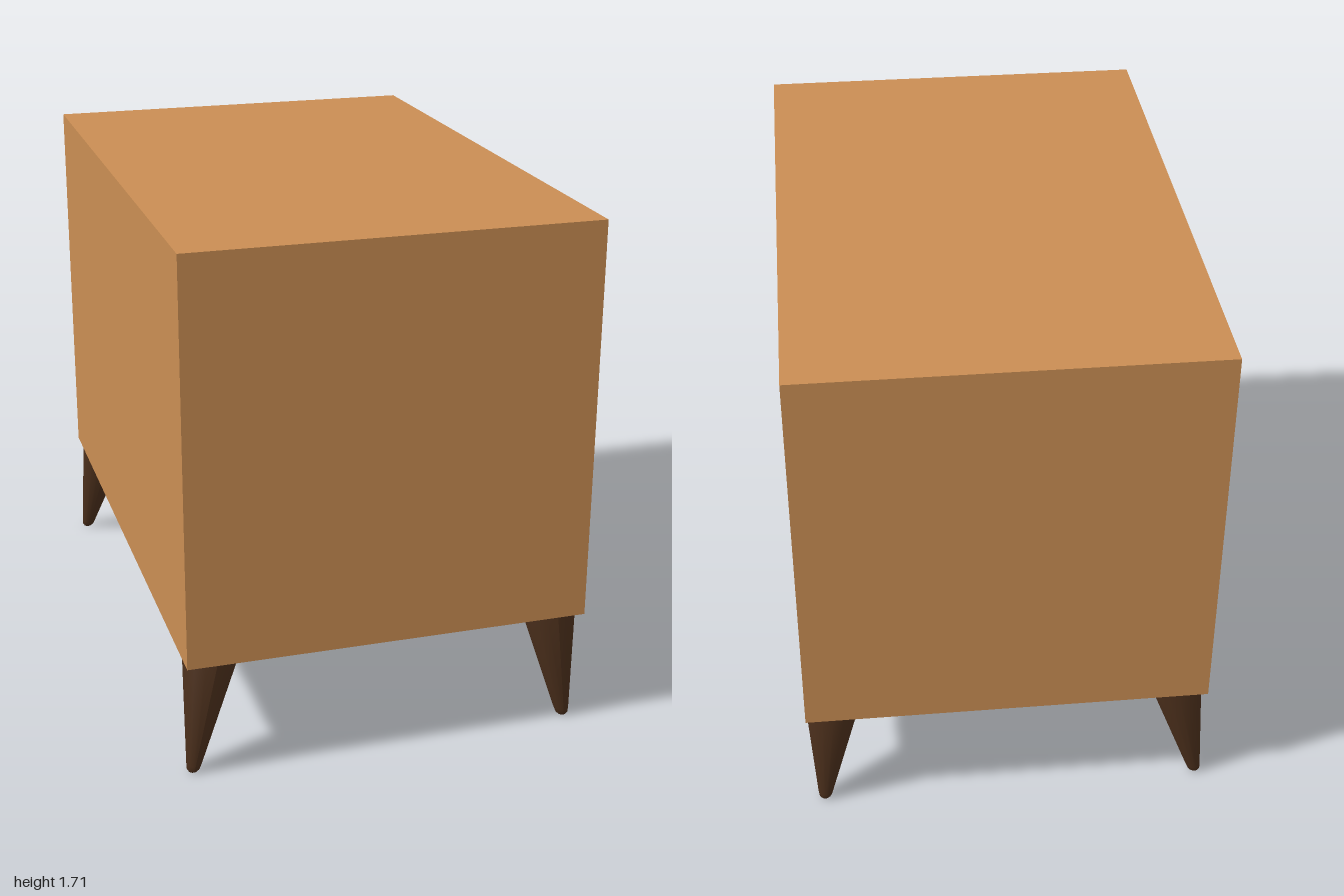
import * as THREE from 'three';

const mat = (color, opts = {}) => new THREE.MeshStandardMaterial({ color, ...opts });

// Rectangle outline with corners cut by a coarse three-step arc (r = 0 gives square corners)
function outline(x0, x1, y0, y1, r = 0) {
  if (!r) return [[x0, y0], [x1, y0], [x1, y1], [x0, y1]].map(p => new THREE.Vector2(...p));
  const points = [];
  const centres = [[x1 - r, y1 - r], [x0 + r, y1 - r], [x0 + r, y0 + r], [x1 - r, y0 + r]];
  centres.forEach(([cx, cy], corner) => {
    for (let i = 0; i <= 3; i++) {
      const a = (corner + i / 3) * Math.PI / 2;
      points.push(new THREE.Vector2(cx + r * Math.cos(a), cy + r * Math.sin(a)));
    }
  });
  return points;
}

function plate(outer, hole, depth) {
  const shape = new THREE.Shape(outer);
  if (hole) shape.holes.push(new THREE.Path(hole));
  return new THREE.ExtrudeGeometry(shape, { depth, bevelEnabled: false });
}

// Sloping band between two matching outlines at two depths
function band(a, za, b, zb) {
  const pos = [];
  a.forEach((p, i) => {
    const j = (i + 1) % a.length;
    const A = [p.x, p.y, za], B = [a[j].x, a[j].y, za];
    const C = [b[j].x, b[j].y, zb], D = [b[i].x, b[i].y, zb];
    pos.push(...A, ...B, ...C, ...A, ...C, ...D);
  });
  const g = new THREE.BufferGeometry();
  g.setAttribute('position', new THREE.Float32BufferAttribute(pos, 3));
  g.computeVertexNormals();
  return g;
}

// Tapered leg with a rounded tip, sheared so the top stays level under the cabinet
function legGeometry(dx, dz) {
  const profile = [[0, 0], [0.014, 0.001], [0.021, 0.009], [0.025, 0.025], [0.092, 0.38], [0, 0.38]];
  const g = new THREE.LatheGeometry(profile.map(p => new THREE.Vector2(...p)), 16);
  const p = g.attributes.position;
  for (let i = 0; i < p.count; i++) {
    const t = 1 - p.getY(i) / 0.38;
    p.setX(i, p.getX(i) + dx * t);
    p.setZ(i, p.getZ(i) + dz * t);
  }
  g.computeVertexNormals();
  return g;
}

export function createModel() {
  const model = new THREE.Group();
  const wood = mat(0xc98d53);
  const add = (parent, name, geometry, material, x = 0, y = 0, z = 0) => {
    const mesh = new THREE.Mesh(geometry, material);
    mesh.name = name;
    mesh.position.set(x, y, z);
    parent.add(mesh);
  };

  // Cabinet is drawn facing local +z, then turned so the screen faces +x
  const cabinet = new THREE.Group();
  cabinet.name = 'cabinet';
  cabinet.rotation.y = Math.PI / 2;
  model.add(cabinet);

  const outer = outline(-1, 1, 0.38, 1.713);
  const opening = outline(-0.955, 0.955, 0.431, 1.673);
  const screenOuter = outline(-0.843, 0.461, 0.534, 1.567, 0.17);
  const screenInner = outline(-0.815, 0.434, 0.56, 1.541, 0.16);

  add(cabinet, 'cabinetShell', plate(outer, opening, 1.287), wood, 0, 0, -0.62);
  add(cabinet, 'backBoard', plate(outer, null, 0.046), wood, 0, 0, -0.666);
  add(cabinet, 'fascia', plate(opening, screenOuter, 0.02), wood, 0, 0, 0.48);

  // Screen set back behind a sloping surround
  add(cabinet, 'screenSurround', band(screenOuter, 0.5, screenInner, 0.385),
    mat(0xe0694c, { side: THREE.DoubleSide, flatShading: true }));
  add(cabinet, 'screen', new THREE.ShapeGeometry(new THREE.Shape(screenInner)),
    mat(0xa4a6a4), 0, 0, 0.385);

  // Control panel beside the screen
  add(cabinet, 'controlPanel', new THREE.BoxGeometry(0.38, 1.168, 0.006),
    mat(0xc8a56c), 0.72, 1.052, 0.5);

  // Splayed legs
  const legWood = mat(0x482d1a);
  for (const front of [1, -1]) {
    const end = front > 0 ? 'front' : 'back';
    add(model, end + 'LeftLeg', legGeometry(0.045, front * 0.063), legWood, 0.575, 0, front * 0.907);
    add(model, end + 'RightLeg', legGeometry(-0.08, front * 0.063), legWood, -0.57, 0, front * 0.907);
  }
  return model;
}
